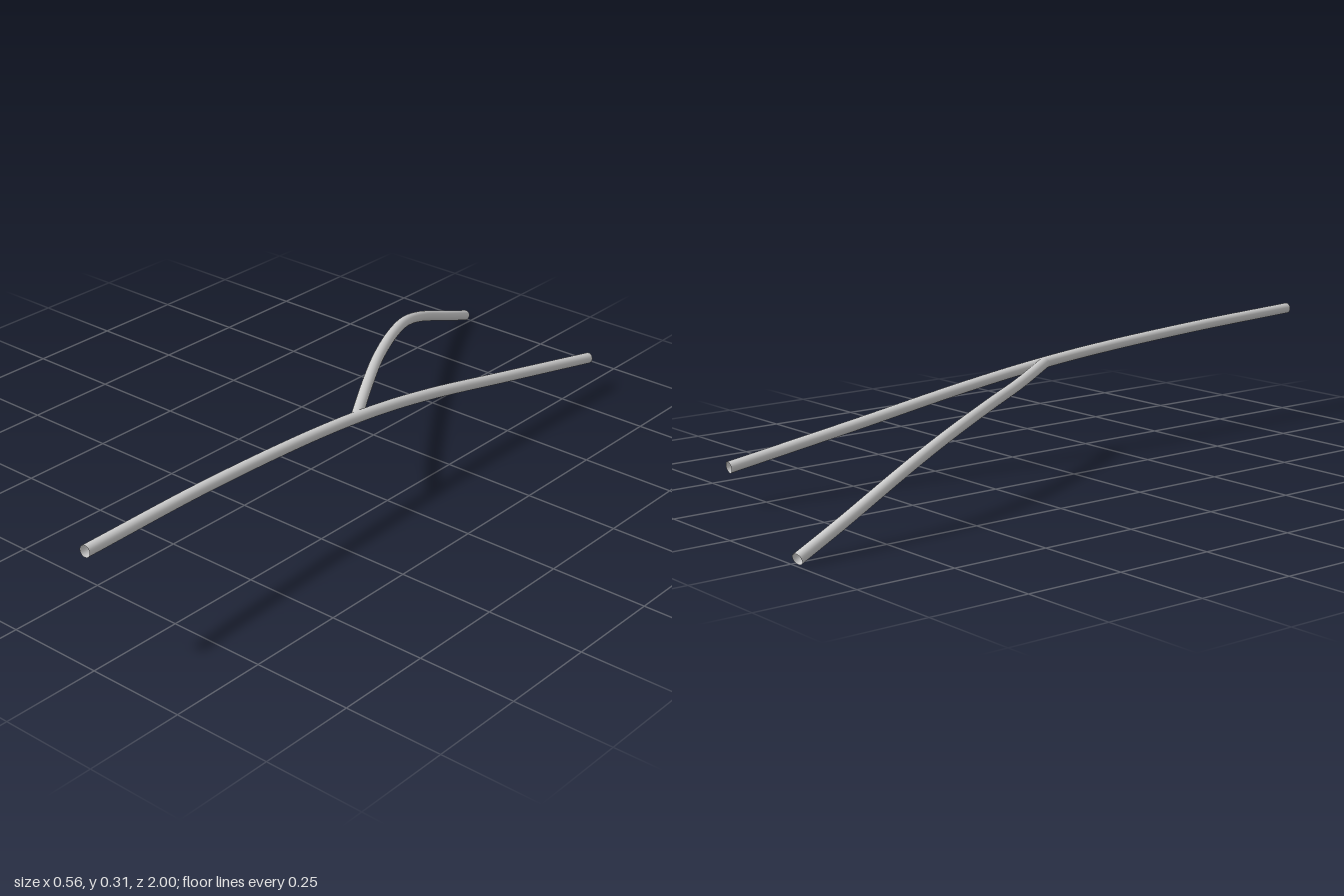
import * as THREE from 'three';

const material = new THREE.MeshStandardMaterial({ color: 0xcccccc, side: THREE.DoubleSide });

// Open round pipe swept along a smooth curve through the points
function pipe(name, points, radius) {
  const curve = new THREE.CatmullRomCurve3(points.map(p => new THREE.Vector3(...p)));
  const mesh = new THREE.Mesh(new THREE.TubeGeometry(curve, 64, radius, 24), material);
  mesh.name = name;
  return mesh;
}

export function createModel() {
  const group = new THREE.Group();
  group.name = 'branchingPipe';

  // Long main pipe, arching down towards the back
  group.add(pipe('mainPipe', [
    [0.241, 0.296, 1], [0.222, 0.284, 0.6], [0.213, 0.262, 0.22], [0.213, 0.24, 0],
    [0.22, 0.211, -0.2], [0.24, 0.157, -0.5], [0.266, 0.097, -0.84],
  ], 0.0145));

  // Side branch leaving the main pipe and curving down to the ground
  group.add(pipe('sideBranch', [
    [0.213, 0.248, 0.08], [0.1, 0.231, -0.095], [0, 0.218, -0.26], [-0.1, 0.194, -0.445],
    [-0.165, 0.166, -0.585], [-0.203, 0.13, -0.7], [-0.24, 0.067, -0.86], [-0.268, 0.015, -0.995],
  ], 0.0145));

  return group;
}
